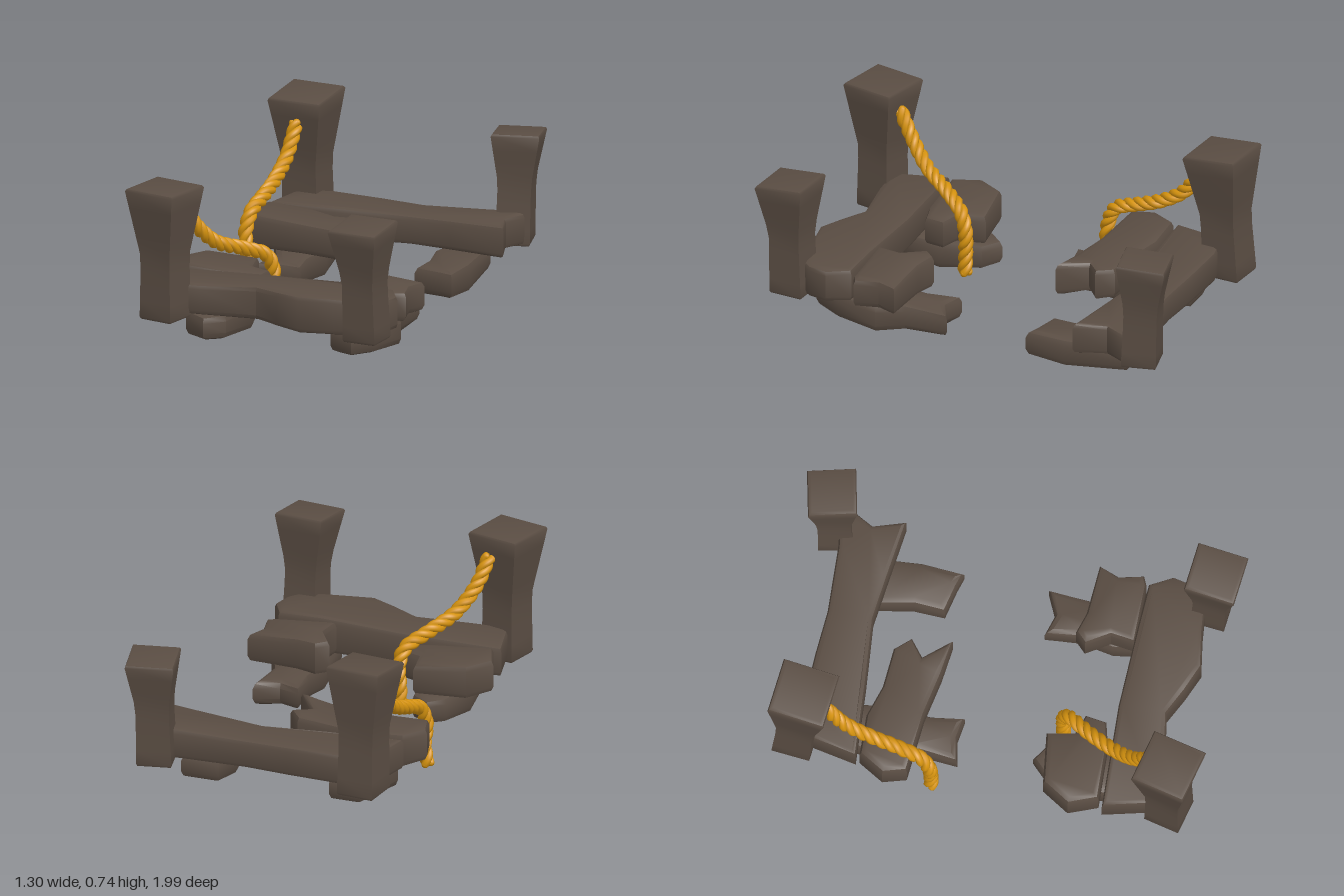
import * as THREE from 'three';
import { toCreasedNormals } from 'three/addons/utils/BufferGeometryUtils.js';

const wood = new THREE.MeshStandardMaterial({ color: 0x5a4d43 });
wood.name = 'darkWood';
const ropeYellow = new THREE.MeshStandardMaterial({ color: 0xd6930f });
ropeYellow.name = 'ropeYellow';

// Move every vertex by a rule, then refresh the normals.
function warp(geo, rule) {
  const p = geo.attributes.position, v = new THREE.Vector3();
  for (let i = 0; i < p.count; i++) {
    rule(v.fromBufferAttribute(p, i));
    p.setXYZ(i, v.x, v.y, v.z);
  }
  return toCreasedNormals(geo, 0.7);
}

// Upright bevelled slab from an outline in x and z (or x and y before placing).
function slab(outline, y0, y1, bevel, steps = 1) {
  const shape = new THREE.Shape(outline.map(([x, z]) => new THREE.Vector2(x, -z)));
  const geo = new THREE.ExtrudeGeometry(shape, {
    depth: y1 - y0 - 2 * bevel, steps, bevelThickness: bevel, bevelSize: bevel,
    bevelOffset: -bevel, bevelSegments: 2,
  });
  return geo.rotateX(-Math.PI / 2).translate(0, y0 + bevel, 0);
}

function mesh(name, geo, material = wood) {
  const m = new THREE.Mesh(geo, material);
  m.name = name;
  return m;
}

// Post: straight foot, flared head, slanted top and a slight lean.
function post(name, { foot, head, turn, top, wide, narrow, slope }) {
  const y0 = 0.13, knee = 0.42, n = narrow / 2;
  const geo = slab([[-n, -n], [n, -n], [n, n], [-n, n]], y0, top, 0.014, 8);
  const c = Math.cos(turn), s = Math.sin(turn);
  return mesh(name, warp(geo, (v) => {
    const flare = Math.max(0, (v.y - knee) / (top - knee));
    const t = (v.y - y0) / (top - y0);
    const k = 1 + (wide / narrow - 1) * flare + 0.06 * Math.max(0, 1 - t * 2.5);
    const x = v.x * k, z = v.z * k;
    v.y += slope * z * flare;
    v.x = x * c + z * s + THREE.MathUtils.lerp(foot[0], head[0], t);
    v.z = -x * s + z * c + THREE.MathUtils.lerp(foot[1], head[1], t);
  }));
}

// Rope: three strands wound round a path.
function rope(name, points) {
  const group = new THREE.Group();
  group.name = name;
  const path = new THREE.CatmullRomCurve3(points.map((p) => new THREE.Vector3(...p)));
  const N = 140, turns = path.getLength() / 0.15;
  const { normals, binormals } = path.computeFrenetFrames(N, false);
  for (let k = 0; k < 3; k++) {
    const strand = [];
    for (let i = 0; i <= N; i++) {
      const a = (turns * i / N + k / 3) * Math.PI * 2;
      strand.push(path.getPointAt(i / N)
        .addScaledVector(normals[i], 0.0165 * Math.cos(a))
        .addScaledVector(binormals[i], 0.0165 * Math.sin(a)));
    }
    const curve = new THREE.CatmullRomCurve3(strand);
    group.add(mesh('ropeStrand', new THREE.TubeGeometry(curve, 180, 0.0175, 8), ropeYellow));
    for (const end of [strand[0], strand[N]]) {
      const tip = mesh('strandTip', new THREE.SphereGeometry(0.0175, 8, 6), ropeYellow);
      tip.position.copy(end);
      group.add(tip);
    }
  }
  return group;
}

export function createModel() {
  const model = new THREE.Group();
  model.name = 'brokenWoodFrame';

  // Corner posts
  model.add(
    post('frontRightPost', { foot: [-0.495, 0.835], head: [-0.5, 0.835], turn: -0.24, top: 0.735, wide: 0.255, narrow: 0.155, slope: 0 }),
    post('frontLeftPost', { foot: [0.46, 0.845], head: [0.45, 0.868], turn: -0.1, top: 0.665, wide: 0.235, narrow: 0.15, slope: -0.1 }),
    post('backRightPost', { foot: [-0.47, -0.845], head: [-0.465, -0.81], turn: -0.1, top: 0.732, wide: 0.26, narrow: 0.165, slope: -0.1 }),
    post('backLeftPost', { foot: [0.505, -0.85], head: [0.517, -0.87], turn: 0.21, top: 0.64, wide: 0.222, narrow: 0.15, slope: 0.08 }),
  );

  // Long cross beams, the front one thickest right of its middle
  const frontBeam = slab([[-0.58, 0.55], [-0.1, 0.535], [0.28, 0.55], [0.48, 0.56], [0.535, 0.66],
    [0.515, 0.75], [0.46, 0.82], [0.3, 0.835], [0.14, 0.86], [0.02, 0.81], [-0.1, 0.75], [-0.35, 0.79], [-0.52, 0.8]],
  0.145, 0.285, 0.022);
  model.add(mesh('frontBeam', warp(frontBeam, (v) => {
    const swell = Math.max(0, 1 - Math.abs(v.x - 0.2) / 0.5);
    v.y += (v.y > 0.2 ? 0.02 : -0.015) * swell;
  })));
  const backBeam = slab([[-0.5, -0.8], [-0.34, -0.835], [-0.1, -0.825], [0.1, -0.81], [0.4, -0.82], [0.57, -0.84],
    [0.575, -0.78], [0.525, -0.69], [0.57, -0.545], [0.3, -0.58], [0.1, -0.605], [-0.2, -0.58], [-0.55, -0.56]],
  0.14, 0.285, 0.022);
  model.add(mesh('backBeam', warp(backBeam, (v) => {
    if (v.y > 0.2) v.y -= 0.012 * Math.max(0, 1 - Math.abs(v.x - 0.1) / 0.4);
  })));

  // Short broken boards beside the beams
  const boards = {
    frontRightBoard: [[-0.6, 0.4], [-0.52, 0.275], [-0.28, 0.245], [-0.255, 0.37], [-0.165, 0.4],
      [-0.18, 0.495], [-0.28, 0.52], [-0.55, 0.53]],
    frontLeftBoard: [[0.15, 0.335], [0.2, 0.285], [0.3, 0.315], [0.535, 0.33], [0.5, 0.42],
      [0.525, 0.53], [0.48, 0.55], [0.2, 0.55], [0.215, 0.44]],
    backRightBoard: [[-0.61, -0.43], [-0.54, -0.545], [-0.35, -0.55], [-0.2, -0.505], [-0.02, -0.49],
      [0.04, -0.42], [-0.035, -0.36], [0.06, -0.24], [-0.1, -0.26], [-0.3, -0.3], [-0.58, -0.325]],
  };
  for (const [name, outline] of Object.entries(boards)) {
    model.add(mesh(name, warp(slab(outline, 0.135, 0.285, 0.028), (v) => {
      if (v.y > 0.2) v.y += 0.012 * Math.sin(v.x * 9);
    })));
  }

  // Low planks running front to back, sagging at mid length
  const planks = {
    frontRightPlank: [[-0.36, 0.2], [-0.27, 0.26], [-0.23, 0.45], [-0.26, 0.7], [-0.34, 0.78],
      [-0.45, 0.7], [-0.48, 0.45], [-0.43, 0.27]],
    frontLeftPlank: [[0.22, 0.14], [0.32, 0.17], [0.43, 0.12], [0.415, 0.33], [0.47, 0.45],
      [0.43, 0.65], [0.36, 0.78], [0.24, 0.72], [0.21, 0.45], [0.235, 0.3]],
    backRightPlank: [[-0.44, -0.125], [-0.33, -0.145], [-0.23, -0.13], [-0.25, -0.28], [-0.23, -0.45],
      [-0.27, -0.75], [-0.42, -0.75], [-0.48, -0.45], [-0.42, -0.3]],
    backLeftPlank: [[0.25, -0.75], [0.43, -0.75], [0.45, -0.45], [0.435, -0.26], [0.37, -0.28],
      [0.24, -0.31], [0.25, -0.45], [0.22, -0.6]],
  };
  for (const [name, outline] of Object.entries(planks)) {
    model.add(mesh(name, warp(slab(outline, 0.025, 0.135, 0.032), (v) => {
      if (v.y < 0.08) v.y -= 0.025 * Math.max(0, 1 - Math.abs(Math.abs(v.z) - 0.45) / 0.33);
    })));
  }

  // Ropes hanging from the two taller posts
  model.add(
    rope('frontRope', [[-0.45, 0.63, 0.73], [-0.42, 0.52, 0.66], [-0.36, 0.42, 0.56], [-0.28, 0.365, 0.43],
      [-0.21, 0.315, 0.335], [-0.19, 0.24, 0.305], [-0.195, 0.13, 0.305], [-0.19, 0.035, 0.305]]),
    rope('backRope', [[-0.475, 0.61, -0.71], [-0.485, 0.48, -0.62], [-0.495, 0.405, -0.5], [-0.505, 0.36, -0.38],
      [-0.52, 0.315, -0.275], [-0.53, 0.23, -0.235], [-0.52, 0.13, -0.23], [-0.53, 0.035, -0.225]]),
  );
  return model;
}
